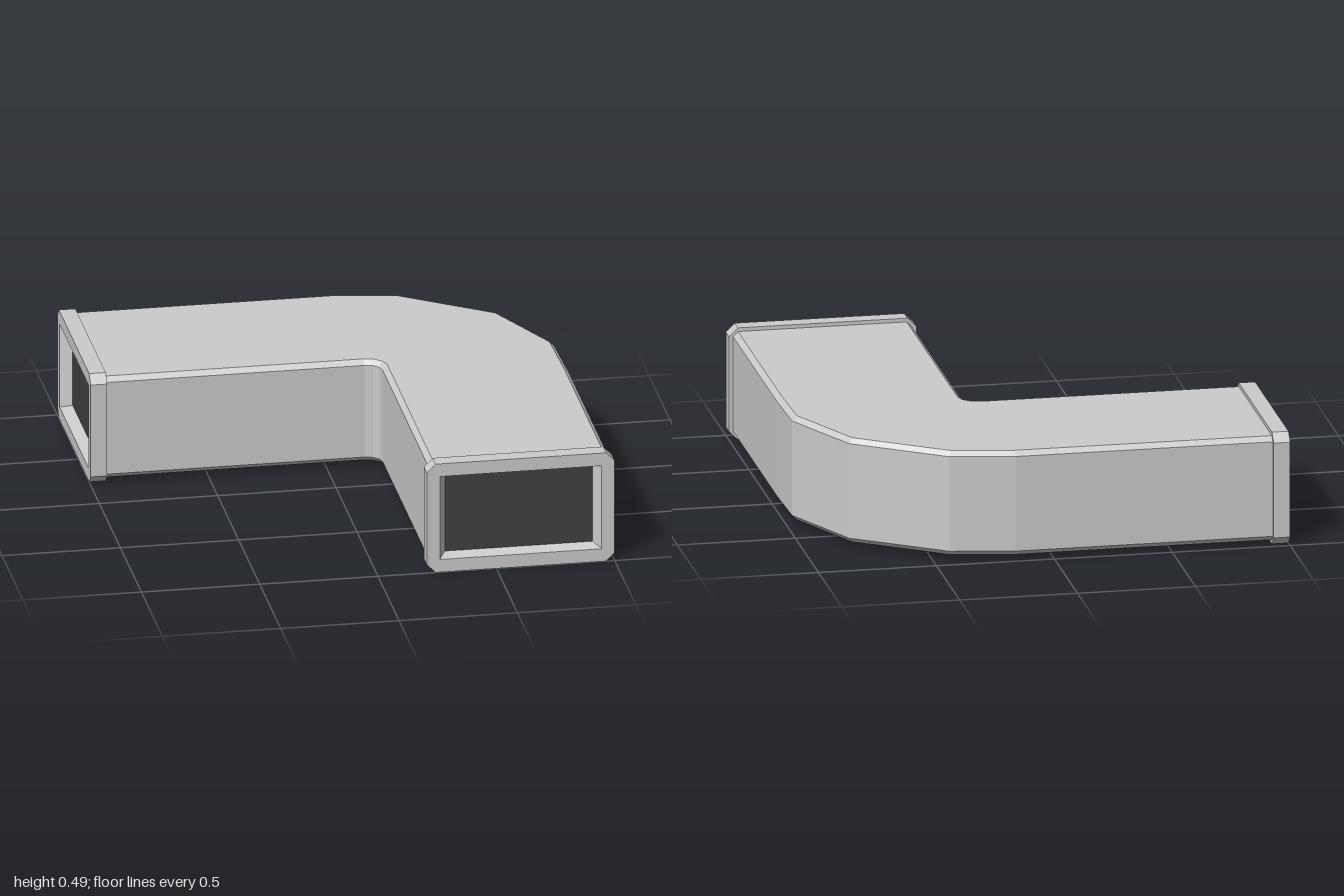
import * as THREE from 'three';

const grey = new THREE.MeshStandardMaterial({ color: 0xcccccc, flatShading: true });
const dark = new THREE.MeshStandardMaterial({ color: 0x404040, side: THREE.DoubleSide });

// Eight-cornered ring: a rectangle with chamfered corners between two plan points
function ring([ix, iz], [ox, oz], y0, y1, c) {
  const w = Math.hypot(ox - ix, oz - iz);
  const at = (d, y) => [ix + (ox - ix) * d / w, y, iz + (oz - iz) * d / w];
  return [
    at(c, y0), at(w - c, y0), at(w, y0 + c), at(w, y1 - c),
    at(w - c, y1), at(c, y1), at(0, y1 - c), at(0, y0 + c),
  ];
}

// Flat-faced skin through successive rings
function loft(rings) {
  const n = rings[0].length, index = [];
  for (let i = 0; i < rings.length - 1; i++) {
    for (let j = 0; j < n; j++) {
      const a = i * n + j, b = i * n + (j + 1) % n;
      index.push(a, b, b + n, a, b + n, a + n);
    }
  }
  const geo = new THREE.BufferGeometry();
  geo.setAttribute('position', new THREE.Float32BufferAttribute(rings.flat(2), 3));
  geo.setIndex(index);
  const flat = geo.toNonIndexed();
  flat.computeVertexNormals();
  return flat;
}

// End collar facing +z, with a tapered recess and a dark opening
function makeCollar(name) {
  const group = new THREE.Group();
  group.name = name;
  const section = (half, y0, y1, c, z) => ring([-half, z], [half, z], y0, y1, c);
  const rim = new THREE.Mesh(loft([
    section(0.36, 0.04, 0.45, 0.02, 0.93),
    section(0.397, 0, 0.486, 0.037, 0.93),
    section(0.397, 0, 0.486, 0.037, 1),
    section(0.342, 0.057, 0.429, 0, 1),
    section(0.312, 0.073, 0.413, 0, 0.95),
  ]), grey);
  rim.name = 'collarRim';
  const opening = new THREE.Mesh(new THREE.PlaneGeometry(0.624, 0.34), dark);
  opening.name = 'ductOpening';
  opening.position.set(0, 0.243, 0.95);
  group.add(rim, opening);
  return group;
}

export function createModel() {
  const model = new THREE.Group();
  model.name = 'ductElbow';

  // Inner and outer plan points [x, z] along the elbow
  const stations = [
    [[-0.94, -0.223], [-0.94, -0.98]],
    [[0.16, -0.223], [0.16, -0.98]],
    [[0.195, -0.213], [0.43, -0.93]],
    [[0.216, -0.192], [0.805, -0.665]],
    [[0.225, -0.16], [0.975, -0.3]],
    [[0.225, 0], [0.983, 0]],
    [[0.225, 0.94], [0.983, 0.94]],
  ];
  const body = new THREE.Mesh(
    loft(stations.map(([inner, outer]) => ring(inner, outer, 0.017, 0.47, 0.021))), grey);
  body.name = 'ductBody';

  const frontCollar = makeCollar('frontCollar');
  frontCollar.position.x = 0.603;
  const sideCollar = makeCollar('sideCollar');
  sideCollar.rotation.y = -Math.PI / 2;
  sideCollar.position.z = -0.603;

  model.add(body, frontCollar, sideCollar);
  return model;
}
